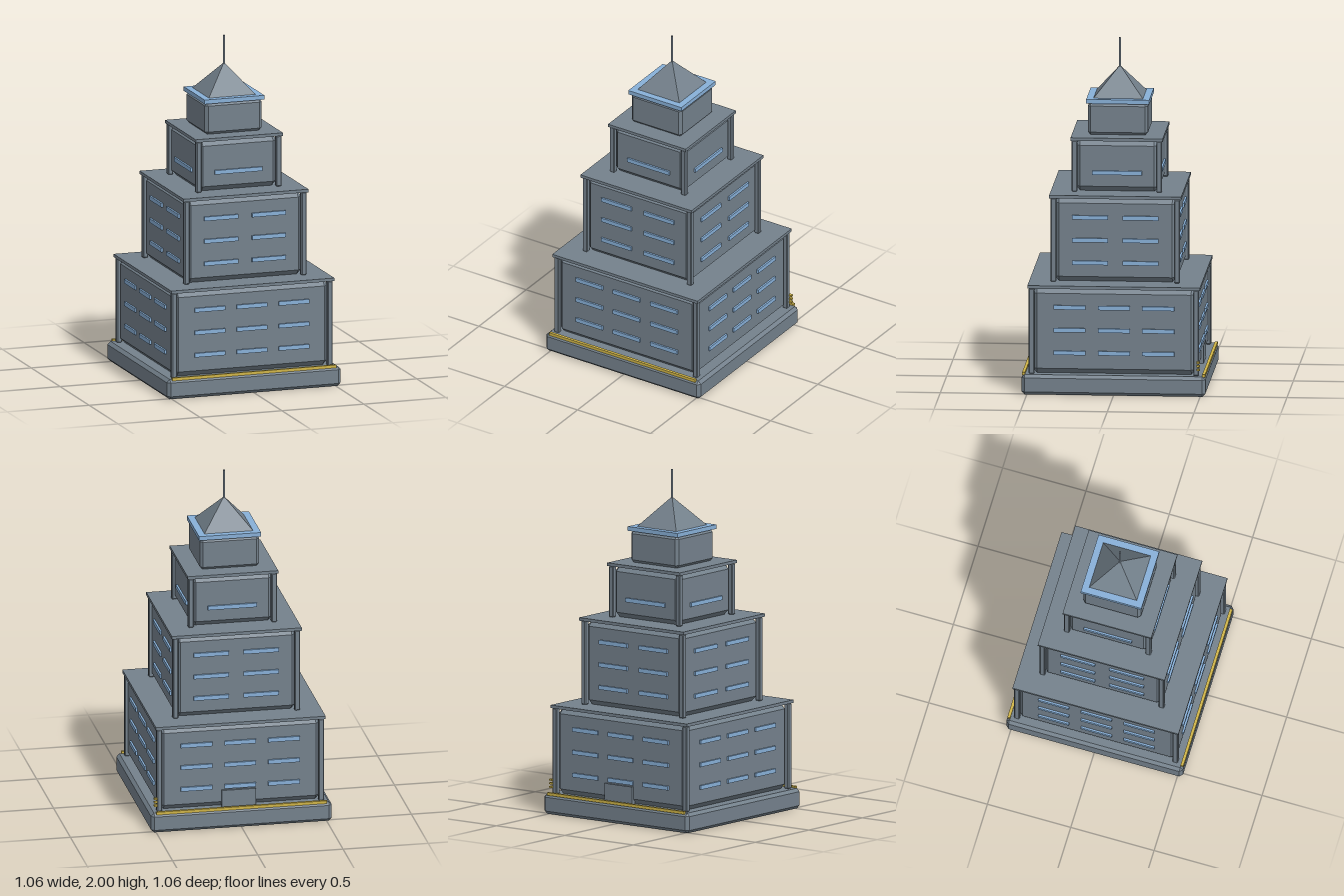
import * as THREE from 'three';
import { ConvexGeometry } from 'three/addons/geometries/ConvexGeometry.js';

const material = (name, color) => {
  const m = new THREE.MeshStandardMaterial({ color });
  m.name = name;
  return m;
};

// Box standing on y = 0 with every edge cut at 45 degrees
function chamferBox(w, h, d, c) {
  const pts = [];
  for (const sx of [-1, 1]) for (const sy of [-1, 1]) for (const sz of [-1, 1]) {
    for (let axis = 0; axis < 3; axis++) {
      const inset = [c, c, c];
      inset[axis] = 0;
      pts.push(new THREE.Vector3(
        sx * (w / 2 - inset[0]), h / 2 + sy * (h / 2 - inset[1]), sz * (d / 2 - inset[2])));
    }
  }
  return new ConvexGeometry(pts);
}

export function createModel() {
  const grey = material('grey stone', 0x74818c);
  const blue = material('blue glass', 0x88b0d8);
  const gold = material('gold trim', 0xd0b548);
  const model = new THREE.Group();
  model.name = 'steppedTower';

  function add(parent, name, geometry, mat, x, y, z) {
    const mesh = new THREE.Mesh(geometry, mat);
    mesh.name = name;
    mesh.position.set(x, y, z);
    parent.add(mesh);
    return mesh;
  }

  // Base slab
  add(model, 'base', chamferBox(1.06, 0.117, 1.06, 0.018), grey, 0, 0, 0);

  // Three tiers: chamfered body, corner posts, flat roof and window bars
  const tiers = [
    { name: 'lowerTier', y0: 0.117, y1: 0.635, half: 0.475, roof: 0.498,
      cols: [-0.256, 0, 0.256], rows: [0.24, 0.373, 0.506], winW: 0.185 },
    { name: 'middleTier', y0: 0.635, y1: 1.143, half: 0.357, roof: 0.381,
      cols: [-0.146, 0.146], rows: [0.747, 0.879, 1.012], winW: 0.207 },
    { name: 'upperTier', y0: 1.143, y1: 1.46, half: 0.244, roof: 0.266,
      cols: [0], rows: [1.254], winW: 0.288 },
  ];
  const roofH = 0.018;
  for (const t of tiers) {
    const tier = new THREE.Group();
    tier.name = t.name;
    model.add(tier);
    const h = t.y1 - t.y0 - roofH;
    add(tier, 'body', chamferBox(t.half * 2, h, t.half * 2, 0.03), grey, 0, t.y0, 0);
    add(tier, 'roof', new THREE.BoxGeometry(t.roof * 2, roofH, t.roof * 2), grey,
      0, t.y1 - roofH / 2, 0);

    const post = chamferBox(0.032, h, 0.032, 0.005);
    for (const sx of [-1, 1]) for (const sz of [-1, 1])
      add(tier, 'cornerPost', post, grey, sx * t.half, t.y0, sz * t.half);

    const bar = new THREE.BoxGeometry(t.winW, 0.024, 0.022);
    for (let side = 0; side < 4; side++) {
      const wall = new THREE.Group();
      wall.name = 'windowWall';
      wall.rotation.y = side * Math.PI / 2;
      tier.add(wall);
      for (const y of t.rows) for (const x of t.cols)
        add(wall, 'window', bar, blue, x, y, t.half);
    }
  }

  // Top room with its blue cornice, pyramid roof and spire
  add(model, 'topRoom', chamferBox(0.346, 0.185, 0.346, 0.016), grey, 0, 1.46, 0);
  add(model, 'cornice', new THREE.BoxGeometry(0.364, 0.025, 0.364), blue, 0, 1.657, 0);
  const pyramid = new THREE.ConeGeometry(0.143 * Math.SQRT2, 0.17, 4, 1).toNonIndexed();
  pyramid.rotateY(Math.PI / 4);
  pyramid.computeVertexNormals();
  add(model, 'pyramidRoof', pyramid, grey, 0, 1.754, 0);
  add(model, 'spire', new THREE.CylinderGeometry(0.007, 0.007, 0.18, 8), grey, 0, 1.91, 0);

  // Gold strips along the front and back edges of the base
  for (const s of [-1, 1])
    add(model, 'goldStrip', new THREE.BoxGeometry(1.0, 0.017, 0.017), gold, 0, 0.119, s * 0.5195);

  // Gold bands stacked on one rear corner post
  for (const y of [0.155, 0.176, 0.197])
    add(model, 'goldBand', new THREE.BoxGeometry(0.02, 0.01, 0.018), gold, 0.498, y, -0.488);

  // Rear door
  add(model, 'door', new THREE.BoxGeometry(0.2, 0.103, 0.03), grey, 0.01, 0.168, -0.475);

  return model;
}
